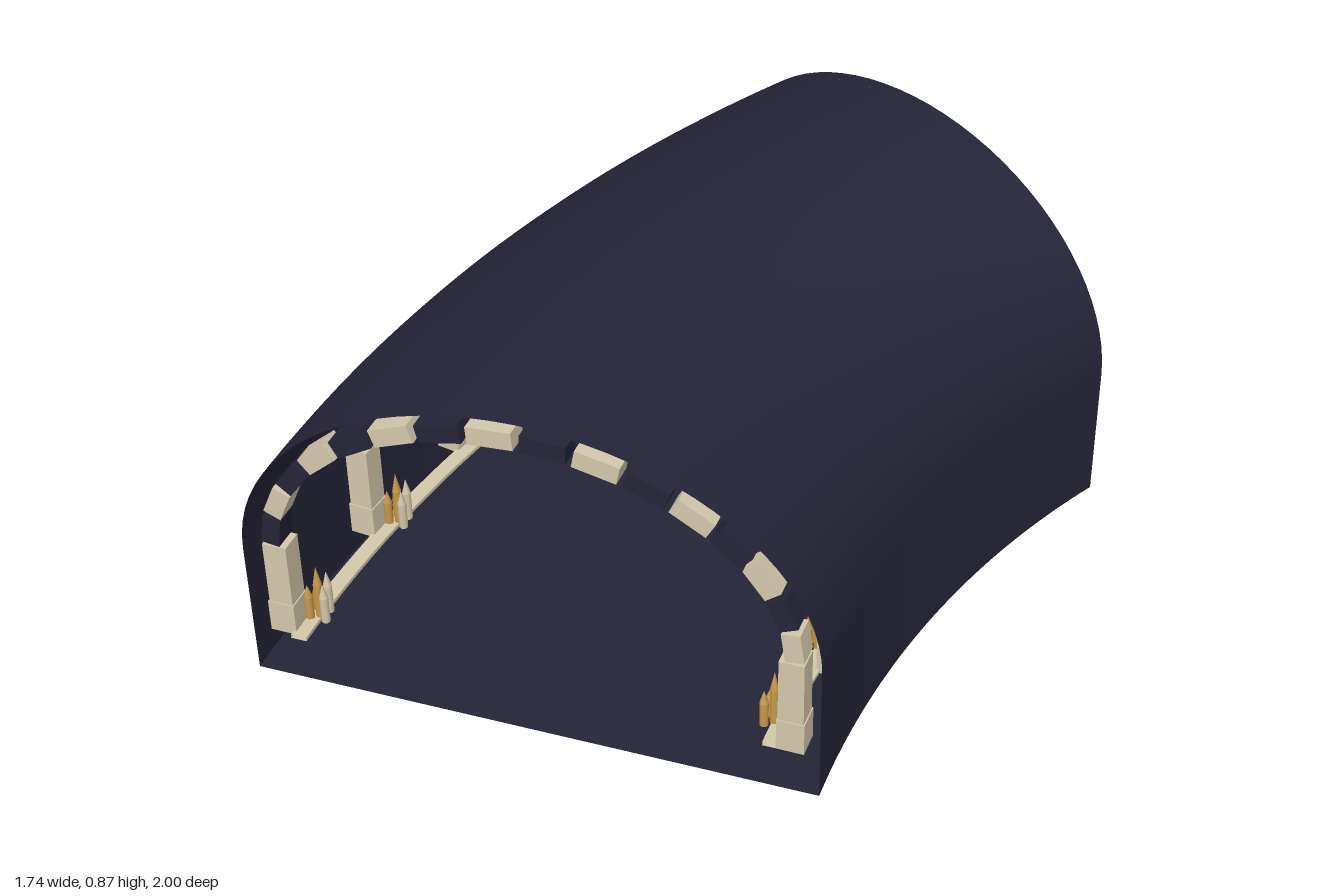
import * as THREE from 'three';

const R = 3.3;                  // bend radius of the tunnel's centre line
const X0 = -0.175;              // centre of the front opening
const LENGTH = R * Math.PI / 6; // 30 degree bend
const HALF = 0.695, SPRING = 0.36, RISE = 0.513;

const mat = (name, color, side = THREE.FrontSide) => {
  const m = new THREE.MeshStandardMaterial({ color, side });
  m.name = name;
  return m;
};

// Bent tunnel space: s along the tunnel, u across, y up
const bend = (s, u, y) => {
  const t = s / R, r = R - u;
  return [X0 + R - r * Math.cos(t), y, 1 - r * Math.sin(t)];
};

// Smooth surface from a grid of points
function grid(rows, cols, point) {
  const pos = [], idx = [];
  for (let i = 0; i <= rows; i++)
    for (let j = 0; j <= cols; j++) pos.push(...point(i, j));
  for (let i = 0; i < rows; i++)
    for (let j = 0; j < cols; j++) {
      const a = i * (cols + 1) + j, c = a + cols + 1;
      idx.push(a, a + 1, c, a + 1, c + 1, c);
    }
  const g = new THREE.BufferGeometry();
  g.setAttribute('position', new THREE.Float32BufferAttribute(pos, 3));
  g.setIndex(idx);
  g.computeVertexNormals();
  return g;
}

// Walls and elliptical vault, set in by d
function vault(d) {
  const pts = [[d - HALF, d]];
  for (let i = 0; i <= 40; i++) {
    const t = Math.PI * i / 40;
    pts.push([-(HALF - d) * Math.cos(t), SPRING + (RISE - d) * Math.sin(t)]);
  }
  pts.push([HALF - d, d]);
  return pts;
}

export function createModel() {
  const model = new THREE.Group();
  const navy = mat('navy', 0x242438, THREE.DoubleSide);
  const cream = mat('cream stone', 0xd3c8ab, THREE.DoubleSide);
  const gold = mat('gold', 0xc9994a);

  const add = (parent, name, geometry, material, x = 0, y = 0, z = 0) => {
    const m = new THREE.Mesh(geometry, material);
    m.name = name;
    m.position.set(x, y, z);
    parent.add(m);
    return m;
  };

  // Tunnel shell and floor
  const outer = vault(0);
  add(model, 'tunnelShell', grid(40, outer.length - 1,
    (i, j) => bend(LENGTH * i / 40, ...outer[j])), navy);
  add(model, 'tunnelFloor', grid(40, 1,
    (i, j) => bend(LENGTH * i / 40, HALF * (1 - 2 * j), 0)), navy);

  // Rounded stone rim around the rear opening, mitred at the bottom corners
  const r = 0.04, sides = 16;
  const rimRows = [];
  for (let i = 0; i <= sides; i++) {
    const p = 2 * Math.PI * i / sides;
    const line = vault(r * (1 - Math.cos(p)));
    const last = line[line.length - 1];
    rimRows.push({ s: LENGTH - r + r * Math.sin(p), line: [...line, last, line[0]] });
  }
  add(model, 'rearRim', grid(sides, rimRows[0].line.length - 1,
    (i, j) => bend(rimRows[i].s, ...rimRows[i].line[j])), cream);

  // Thin ledge along the foot of each row of pillars
  for (const side of [-1, 1]) {
    const a = side < 0 ? -0.6 : 0.56, b = a + 0.04;
    const loop = [[a, 0.115], [a, 0.125], [b, 0.125], [b, 0.115], [a, 0.115]];
    const g = grid(30, 4, (i, j) => bend(LENGTH * i / 30, ...loop[j])).toNonIndexed();
    g.computeVertexNormals();
    add(model, side < 0 ? 'rightLedge' : 'leftLedge', g, cream);
  }

  const shaftGeo = new THREE.BoxGeometry(0.06, 0.17, 0.06);
  const plinthGeo = new THREE.BoxGeometry(0.066, 0.085, 0.066);

  // Cluster of pointed candles: [x, z, height]
  const candles = [[0, 0, 0.15], [0.02, 0.012, 0.11], [-0.02, 0.014, 0.1],
    [0.012, -0.024, 0.12], [-0.016, -0.02, 0.08]];
  function candleCluster() {
    const g = new THREE.Group();
    g.name = 'candleCluster';
    candles.forEach(([x, z, h], i) => {
      const body = h * 0.65, tip = h - body;
      const m = i % 2 ? cream : gold;
      add(g, 'candle', new THREE.CylinderGeometry(0.011, 0.011, body, 8), m, x, body / 2, z);
      add(g, 'candleTip', new THREE.ConeGeometry(0.011, tip, 8), m, x, body + tip / 2, z);
    });
    return g;
  }

  // Six ribs: two pillars, a banded arch and candles
  const RIBS = 6, BLOCKS = 16, A = 0.63, B = 0.445;
  for (let k = 0; k < RIBS; k++) {
    const s = 0.04 + (LENGTH - 0.08) * k / (RIBS - 1);
    const rib = new THREE.Group();
    rib.name = 'rib';
    rib.position.set(...bend(s, 0, 0));
    rib.rotation.y = -s / R;
    model.add(rib);

    for (const side of [-1, 1]) {
      add(rib, 'plinth', plinthGeo, cream, side * 0.625, 0.1575, 0);
      add(rib, 'pillar', shaftGeo, cream, side * 0.625, 0.285, 0);
      const c = candleCluster();
      c.position.set(side * 0.565, 0.122, k === RIBS - 1 ? 0.06 : -0.04);
      rib.add(c);
    }

    // Alternating navy and cream arch blocks
    for (let i = 0; i < BLOCKS; i++) {
      const t = Math.PI * (i + 0.5) / BLOCKS;
      const dx = A * Math.sin(t), dy = B * Math.cos(t);
      const len = Math.hypot(dx, dy) * Math.PI / BLOCKS * 0.87;
      const block = add(rib, i % 2 ? 'creamArchBlock' : 'navyArchBlock',
        new THREE.BoxGeometry(len, 0.045, 0.06), i % 2 ? cream : navy,
        -A * Math.cos(t), 0.37 + B * Math.sin(t), 0);
      block.rotation.z = Math.atan2(dy, dx);
    }
  }
  return model;
}
